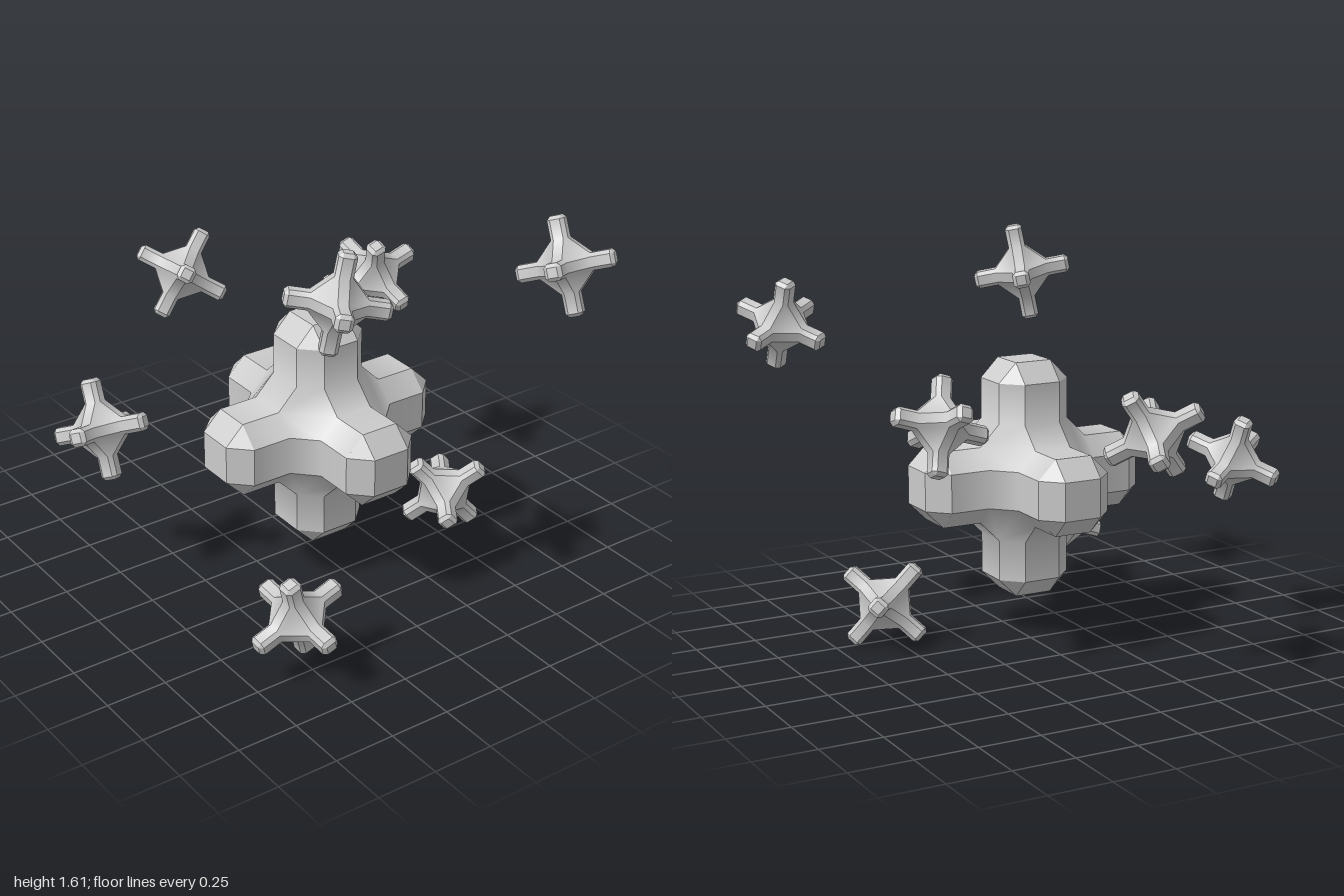
import * as THREE from 'three';

// Six-armed jack: octagonal arms with bevelled tips and chamfered inner joints.
// tip, shoulder and base are distances along an arm; half is the arm's half
// width and flat the half width of each of its main faces.
function jackGeometry({ tip, shoulder, base, half, flat }) {
  const faces = [];
  const sums = new Map();
  const key = (group, p) => group + p.toArray().map((v) => Math.round(v * 1e4)).join();

  // Adds a convex outward polygon; faces of one group share smooth normals.
  const add = (group, points) => {
    const c = points.reduce((s, p) => s.add(p), new THREE.Vector3());
    const n = points[1].clone().sub(points[0]).cross(points[2].clone().sub(points[0])).normalize();
    if (n.dot(c) < 0) {
      points.reverse();
      n.negate();
    }
    const name = group === 'cap' ? 'cap' + faces.length + '_' : group;
    for (const p of points) {
      const k = key(name, p);
      if (!sums.has(k)) sums.set(k, new THREE.Vector3());
      sums.get(k).add(n);
    }
    faces.push({ name, points });
  };

  const signs = [-1, 1];
  for (let axis = 0; axis < 3; axis++) {
    const at = (a, b, c) => {
      const v = new THREE.Vector3();
      [a, b, c].forEach((value, i) => v.setComponent((axis + i) % 3, value));
      return v;
    };
    for (const s of signs) {
      const T = s * tip, S = s * shoulder, B = s * base;
      // End square
      add('cap', [at(T, flat, flat), at(T, -flat, flat), at(T, -flat, -flat), at(T, flat, -flat)]);
      for (const t of signs) {
        const h = t * half, f = t * flat;
        // Main arm faces and their end bevels
        add('band', [at(S, h, flat), at(S, h, -flat), at(B, h, -flat), at(B, h, flat)]);
        add('band', [at(S, flat, h), at(S, -flat, h), at(B, -flat, h), at(B, flat, h)]);
        add('cap', [at(T, f, flat), at(T, f, -flat), at(S, h, -flat), at(S, h, flat)]);
        add('cap', [at(T, flat, f), at(T, -flat, f), at(S, -flat, h), at(S, flat, h)]);
        // Chamfer joining this arm to the next
        add('band', [at(B, h, flat), at(B, h, -flat), at(s * half, t * base, -flat), at(s * half, t * base, flat)]);
        // Narrow diagonal arm faces and corner triangles
        for (const u of signs) {
          const g = u * flat, k = u * half;
          add('web', [at(S, h, g), at(S, f, k), at(B, f, k), at(B, h, g)]);
          add('cap', [at(T, f, g), at(S, h, g), at(S, f, k)]);
        }
      }
    }
  }

  // Hexagonal web in each octant
  for (const x of signs) for (const y of signs) for (const z of signs) {
    add('web', [
      [base, half, flat], [base, flat, half], [half, flat, base],
      [flat, half, base], [flat, base, half], [half, base, flat],
    ].map(([a, b, c]) => new THREE.Vector3(a * x, b * y, c * z)));
  }

  const position = [], normal = [];
  for (const { name, points } of faces) {
    for (let i = 1; i < points.length - 1; i++) {
      for (const p of [points[0], points[i], points[i + 1]]) {
        position.push(...p.toArray());
        normal.push(...sums.get(key(name, p)).clone().normalize().toArray());
      }
    }
  }
  const geometry = new THREE.BufferGeometry();
  geometry.setAttribute('position', new THREE.Float32BufferAttribute(position, 3));
  geometry.setAttribute('normal', new THREE.Float32BufferAttribute(normal, 3));
  return geometry;
}

export function createModel() {
  const group = new THREE.Group();
  const material = new THREE.MeshStandardMaterial({ color: 0xcccccc });

  // Large central jack
  const large = new THREE.Mesh(
    jackGeometry({ tip: 0.483, shoulder: 0.405, base: 0.24, half: 0.155, flat: 0.078 }), material);
  large.name = 'largeJack';
  large.position.set(-0.045, 0.65, 0.14);
  group.add(large);

  // Small jacks scattered around it: centre and the directions of two arms
  const small = jackGeometry({ tip: 0.201, shoulder: 0.187, base: 0.108, half: 0.035, flat: 0.02 });
  const jacks = [
    { name: 'upperRightJack', at: [-0.275, 1.413, 0.585], arms: [[0.19, 0.97, 0.05], [-0.48, 0.05, 0.87]] },
    { name: 'upperLeftJack', at: [0.817, 1.275, 0.59], arms: [[0.8, -0.25, -0.5], [0.54, 0.33, 0.78]] },
    { name: 'backLeftJack', at: [0.533, 0.99, -0.27], arms: [[-0.27, 0.85, 0.43], [0.1, -0.36, 0.88]] },
    { name: 'backRightJack', at: [-0.82, 0.705, -0.222], arms: [[0.8, -0.27, -0.48], [0.5, 0.36, 0.79]] },
    { name: 'lowerRightJack', at: [-0.555, 0.255, 0.73], arms: [[-0.31, 0.92, 0.2], [0.08, -0.18, 0.92]] },
    { name: 'lowerLeftJack', at: [0.55, 0.17, 0.215], arms: [[-0.59, 0.7, -0.2], [0.53, 0.64, 0.5]] },
    { name: 'rearJack', at: [-0.11, 0.985, -0.75], arms: [[0.6, 0.78, -0.08], [-0.38, 0.38, 0.83]] },
  ];
  for (const { name, at, arms } of jacks) {
    const a = new THREE.Vector3(...arms[0]).normalize();
    const c = a.clone().cross(new THREE.Vector3(...arms[1])).normalize();
    const b = c.clone().cross(a);
    const jack = new THREE.Mesh(small, material);
    jack.name = name;
    jack.position.set(...at);
    jack.quaternion.setFromRotationMatrix(new THREE.Matrix4().makeBasis(a, b, c));
    group.add(jack);
  }
  return group;
}
